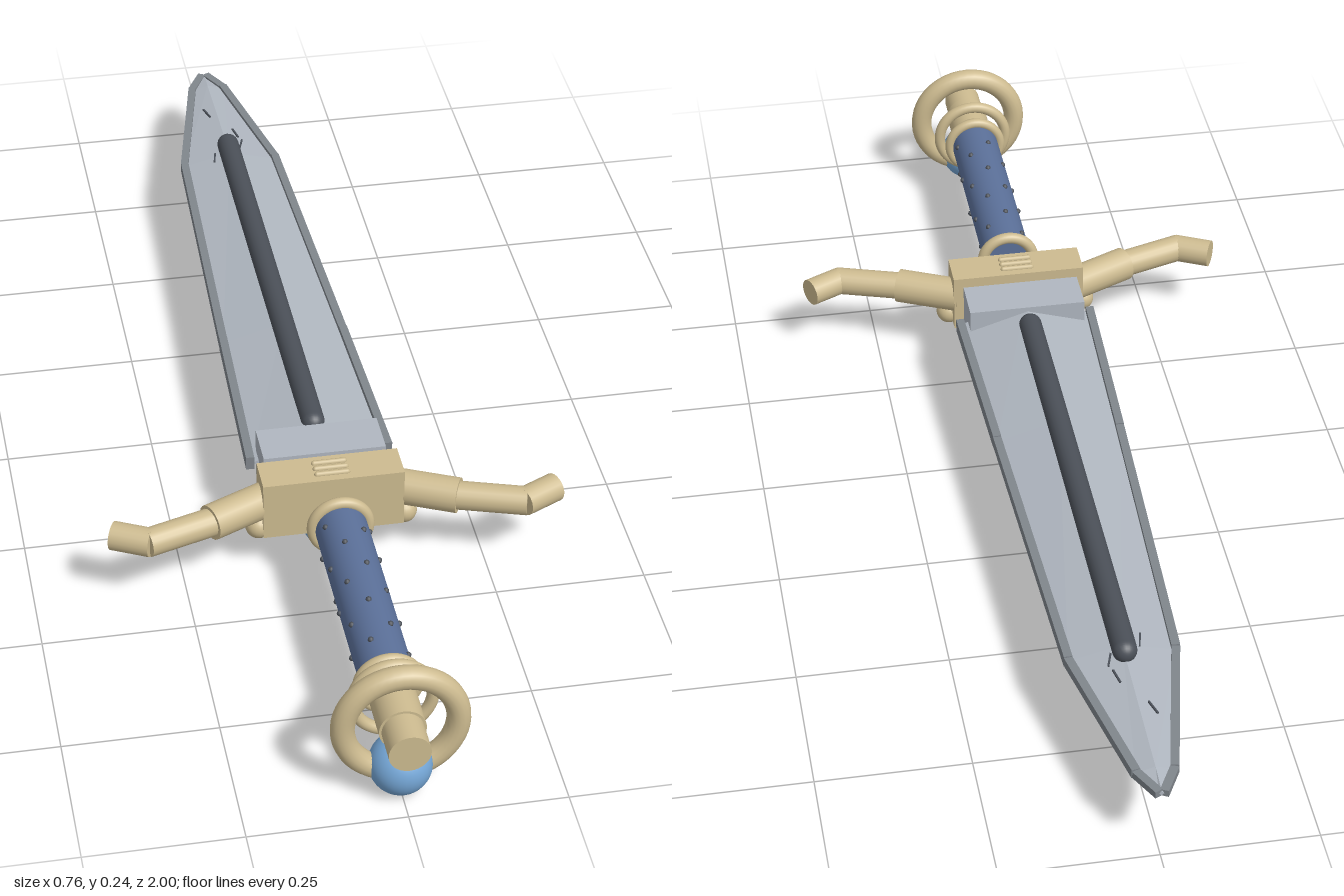
import * as THREE from 'three';

const AXIS = 0.127; // height of the long axis
const mat = (color, extra = {}) => {
  const m = new THREE.MeshStandardMaterial(extra);
  m.color.set(color);
  return m;
};

export function createModel() {
  const root = new THREE.Group();
  const gold = mat(0xcdbb90), gem = mat(0x76a8d8), leather = mat(0x5b7099);
  const steel = mat(0xb0b7c0, { flatShading: true }), dark = mat(0x4b5058), edgeSteel = mat(0x80868c, { flatShading: true });

  const add = (name, geometry, material, x = 0, y = AXIS, z = 0) => {
    const mesh = new THREE.Mesh(geometry, material);
    mesh.name = name;
    mesh.position.set(x, y, z);
    root.add(mesh);
    return mesh;
  };
  // Cylinder running along z between two depths
  const rod = (name, r, z0, z1, material, segments = 32) =>
    add(name, new THREE.CylinderGeometry(r, r, z1 - z0, segments).rotateX(Math.PI / 2), material, 0, AXIS, (z0 + z1) / 2);
  const ring = (name, outer, tube, z) =>
    add(name, new THREE.TorusGeometry(outer - tube, tube, 16, 48), gold, 0, AXIS, z);
  // Cylinder between two points
  const bar = (name, a, b, r, material, segments = 20) => {
    const d = b.clone().sub(a), mid = a.clone().add(b).multiplyScalar(0.5);
    const mesh = add(name, new THREE.CylinderGeometry(r, r, d.length(), segments), material, mid.x, mid.y, mid.z);
    mesh.quaternion.setFromUnitVectors(new THREE.Vector3(0, 1, 0), d.normalize());
    return mesh;
  };

  // Blade stations: z, half width, half thickness at the ridge
  const stations = [[0.25, 0.117, 0.036], [-0.1, 0.106, 0.031], [-0.68, 0.086, 0.021], [-0.95, 0.03, 0.009], [-1, 0.004, 0.004]];
  const pos = [], idx = [];
  for (const [z, w, t] of stations) pos.push(w, 0, z, 0, t, z, -w, 0, z, 0, -t, z);
  for (let s = 0; s < stations.length - 1; s++) {
    for (let k = 0; k < 4; k++) {
      const a = s * 4 + k, b = s * 4 + (k + 1) % 4;
      idx.push(a, b, a + 4, b, b + 4, a + 4);
    }
  }
  const e = (stations.length - 1) * 4;
  idx.push(0, 2, 1, 0, 3, 2, e, e + 1, e + 2, e, e + 2, e + 3);
  for (let i = 0; i < idx.length; i += 3) [idx[i + 1], idx[i + 2]] = [idx[i + 2], idx[i + 1]];
  // Orient faces outward from the signed volume
  const v = i => new THREE.Vector3().fromArray(pos, i * 3);
  let volume = 0;
  for (let i = 0; i < idx.length; i += 3) volume += v(idx[i]).dot(v(idx[i + 1]).cross(v(idx[i + 2])));
  if (volume < 0) idx.reverse();
  const bladeGeo = new THREE.BufferGeometry();
  bladeGeo.setAttribute('position', new THREE.Float32BufferAttribute(pos, 3));
  bladeGeo.setIndex(idx);
  bladeGeo.computeVertexNormals();
  steel.side = THREE.DoubleSide;
  add('blade', bladeGeo, steel);

  // Sharpened edge strips along both sides
  for (const s of [-1, 1]) {
    for (let i = 0; i < stations.length - 1; i++) {
      const [z0, w0] = stations[i], [z1, w1] = stations[i + 1];
      const len = Math.hypot(z1 - z0, w1 - w0);
      const strip = add('bladeEdge', new THREE.BoxGeometry(0.014, 0.024 - i * 0.004, len), edgeSteel,
        s * (w0 + w1) / 2, AXIS, (z0 + z1) / 2);
      strip.rotation.y = s * Math.atan2(w0 - w1, z0 - z1);
    }
  }

  // Dark central ribs on both faces, and the blade's base block
  for (const s of [-1, 1]) {
    add('centralRib', new THREE.CapsuleGeometry(0.02, 0.89, 8, 20).rotateX(Math.PI / 2), dark, 0, AXIS + s * 0.028, -0.255);
  }
  add('bladeBase', new THREE.BoxGeometry(0.205, 0.088, 0.08), steel, 0, AXIS, 0.26);

  // Fine scratches near the tip
  const scratches = [[-0.02, -0.83, 0.3], [0.022, -0.75, 0.2], [0.026, -0.71, -0.3], [-0.03, -0.67, -0.2]];
  for (const [x, z, turn] of scratches) {
    add('scratch', new THREE.BoxGeometry(0.003, 0.003, 0.03), dark, x, AXIS + 0.02, z).rotation.y = turn;
  }

  // Guard: centre block, curved-back arms and lower knobs
  add('guardBlock', new THREE.BoxGeometry(0.235, 0.105, 0.066), gold, 0, 0.125, 0.35);
  const P = (x, z) => new THREE.Vector3(x, 0.125, z);
  for (const s of [-1, 1]) {
    bar('guardArmInner', P(s * 0.1, 0.343), P(s * 0.207, 0.393), 0.03, gold);
    bar('guardArmOuter', P(s * 0.19, 0.387), P(s * 0.315, 0.427), 0.024, gold);
    bar('guardTip', P(s * 0.308, 0.428), P(s * 0.368, 0.398), 0.024, gold);
    add('guardKnob', new THREE.SphereGeometry(0.022, 20, 14), gold, s * 0.122, 0.083, 0.36);
  }
  for (const z of [0.335, 0.35, 0.365]) {
    const ridge = add('guardRidge', new THREE.CapsuleGeometry(0.005, 0.05, 4, 10), gold, 0, 0.178, z);
    ridge.rotation.z = Math.PI / 2;
  }
  add('guardGem', new THREE.SphereGeometry(0.05, 32, 24), gem, 0, 0.08, 0.36);

  // Grip with studs and end collars
  rod('grip', 0.043, 0.44, 0.83, leather);
  for (let i = 0; i < 30; i++) {
    const a = i * 2.4;
    add('gripStud', new THREE.SphereGeometry(0.005, 8, 6), dark,
      Math.cos(a) * 0.043, AXIS + Math.sin(a) * 0.043, 0.465 + i * 0.0115);
  }
  ring('frontCollar', 0.056, 0.01, 0.44);
  ring('rearCollar', 0.057, 0.009, 0.835);

  // Pommel: stem, rings and hanging gem
  rod('pommelNeck', 0.037, 0.87, 0.945, gold);
  rod('pommelStem', 0.033, 0.82, 1, gold);
  ring('pommelSmallRing', 0.073, 0.01, 0.868);
  ring('pommelRing', 0.109, 0.019, 0.928);
  add('pommelGem', new THREE.SphereGeometry(0.05, 32, 24), gem, 0, 0.05, 0.932);

  return root;
}
